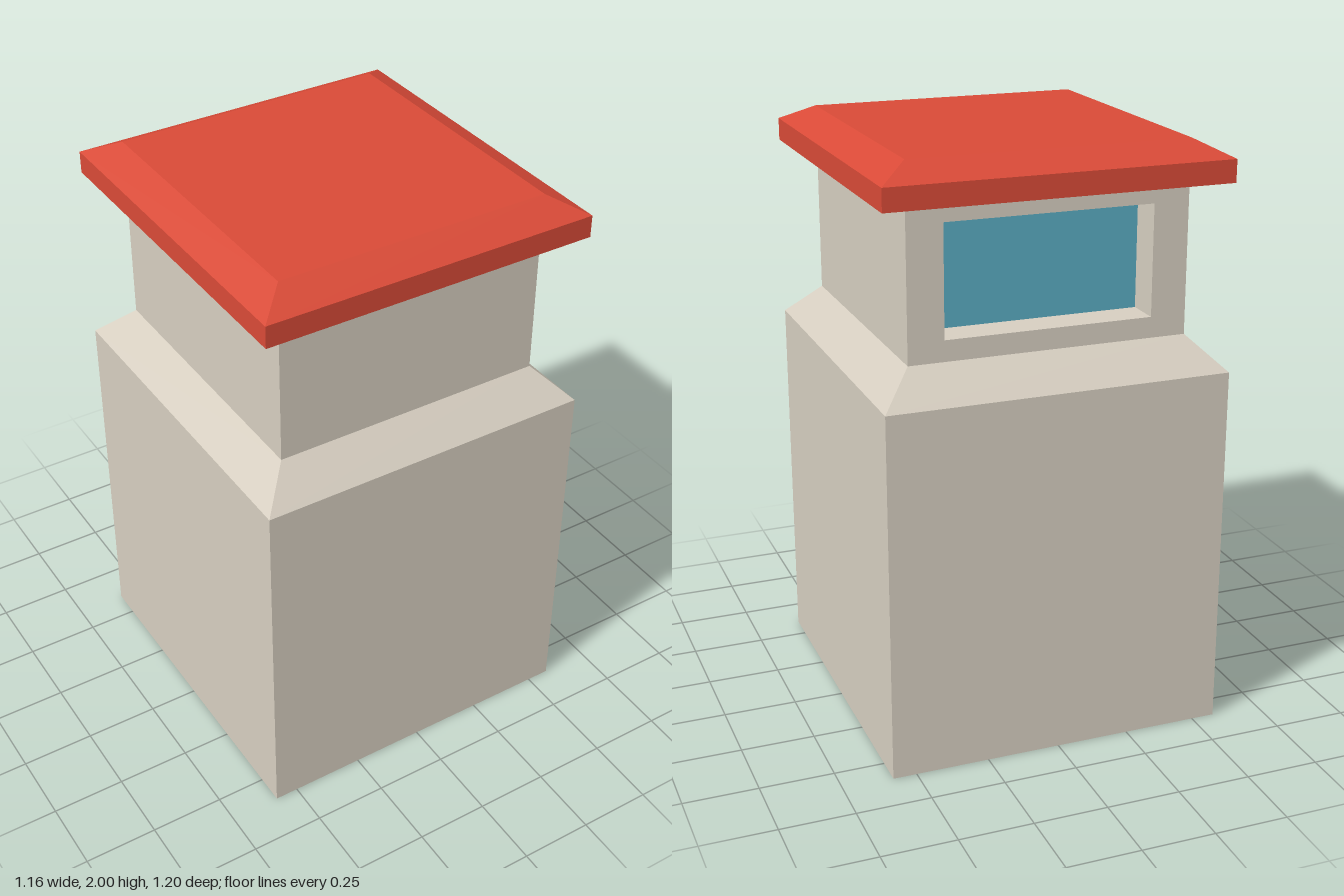
import * as THREE from 'three';

const stone = new THREE.MeshStandardMaterial({ color: 0xd6cec0 });
stone.name = 'stone';
const red = new THREE.MeshStandardMaterial({ color: 0xd84a37 });
red.name = 'roofRed';
const blue = new THREE.MeshStandardMaterial({ color: 0x5aabc1 });
blue.name = 'glassBlue';

// Rectangular skin through rings [halfWidth, halfDepth, y]; sides: 0 left, 1 back, 2 right, 3 front
function loft(rings, sides = [0, 1, 2, 3]) {
  const signs = [[1, 1], [1, -1], [-1, -1], [-1, 1]];
  const corner = ([w, d, y], k) => [w * signs[k % 4][0], y, d * signs[k % 4][1]];
  const pos = [];
  for (let i = 0; i < rings.length - 1; i++) {
    for (const k of sides) {
      const a = corner(rings[i], k), b = corner(rings[i], k + 1);
      const c = corner(rings[i + 1], k + 1), d = corner(rings[i + 1], k);
      pos.push(...a, ...b, ...c, ...a, ...c, ...d);
    }
  }
  const geo = new THREE.BufferGeometry();
  geo.setAttribute('position', new THREE.Float32BufferAttribute(pos, 3));
  geo.computeVertexNormals();
  return geo;
}

// Horizontal face looking up or down
function cap(halfW, halfD, y, up) {
  return new THREE.PlaneGeometry(halfW * 2, halfD * 2)
    .rotateX(up ? -Math.PI / 2 : Math.PI / 2).translate(0, y, 0);
}

export function createModel() {
  const model = new THREE.Group();
  model.name = 'watchBooth';
  const add = (name, geo, mat) => {
    const mesh = new THREE.Mesh(geo, mat);
    mesh.name = name;
    model.add(mesh);
  };

  const W = 0.47, D = 0.487, neckY = 1.36, eaveY = 1.87;

  // Base block with sloping shoulder
  add('base', loft([[0.58, 0.6, 0], [0.58, 0.6, 1.25], [W, D, neckY]]), stone);
  add('baseUnderside', cap(0.58, 0.6, 0, false), stone);

  // Cabin: three plain walls, and a back wall with a window opening
  add('cabinWalls', loft([[W, D, neckY], [W, D, eaveY]], [0, 2, 3]), stone);
  const rect = (path, w, y0, y1) =>
    path.moveTo(-w, y0).lineTo(w, y0).lineTo(w, y1).lineTo(-w, y1).closePath();
  const winW = 0.35, winY0 = 1.43, winY1 = 1.8, recess = 0.12;
  const wall = rect(new THREE.Shape(), W, neckY, eaveY);
  wall.holes.push(rect(new THREE.Path(), winW, winY0, winY1));
  add('backWall', new THREE.ShapeGeometry(wall).rotateY(Math.PI).translate(0, 0, -D), stone);

  // Window reveal and recessed glass
  const winH = (winY1 - winY0) / 2, winY = (winY0 + winY1) / 2;
  add('windowReveal', loft([[winW, winH, recess], [winW, winH, 0]])
    .rotateX(-Math.PI / 2).translate(0, winY, recess - D), stone);
  add('windowGlass', new THREE.PlaneGeometry(winW * 2, winH * 2)
    .rotateY(Math.PI).translate(0, winY, recess - D), blue);

  // Bevelled roof slab with a stone soffit
  add('roof', loft([[0.575, 0.597, eaveY], [0.575, 0.597, 1.945], [W, 0.49, 2]]), red);
  add('roofTop', cap(W, 0.49, 2, true), red);
  add('soffit', cap(0.575, 0.597, eaveY, false), stone);

  return model;
}
